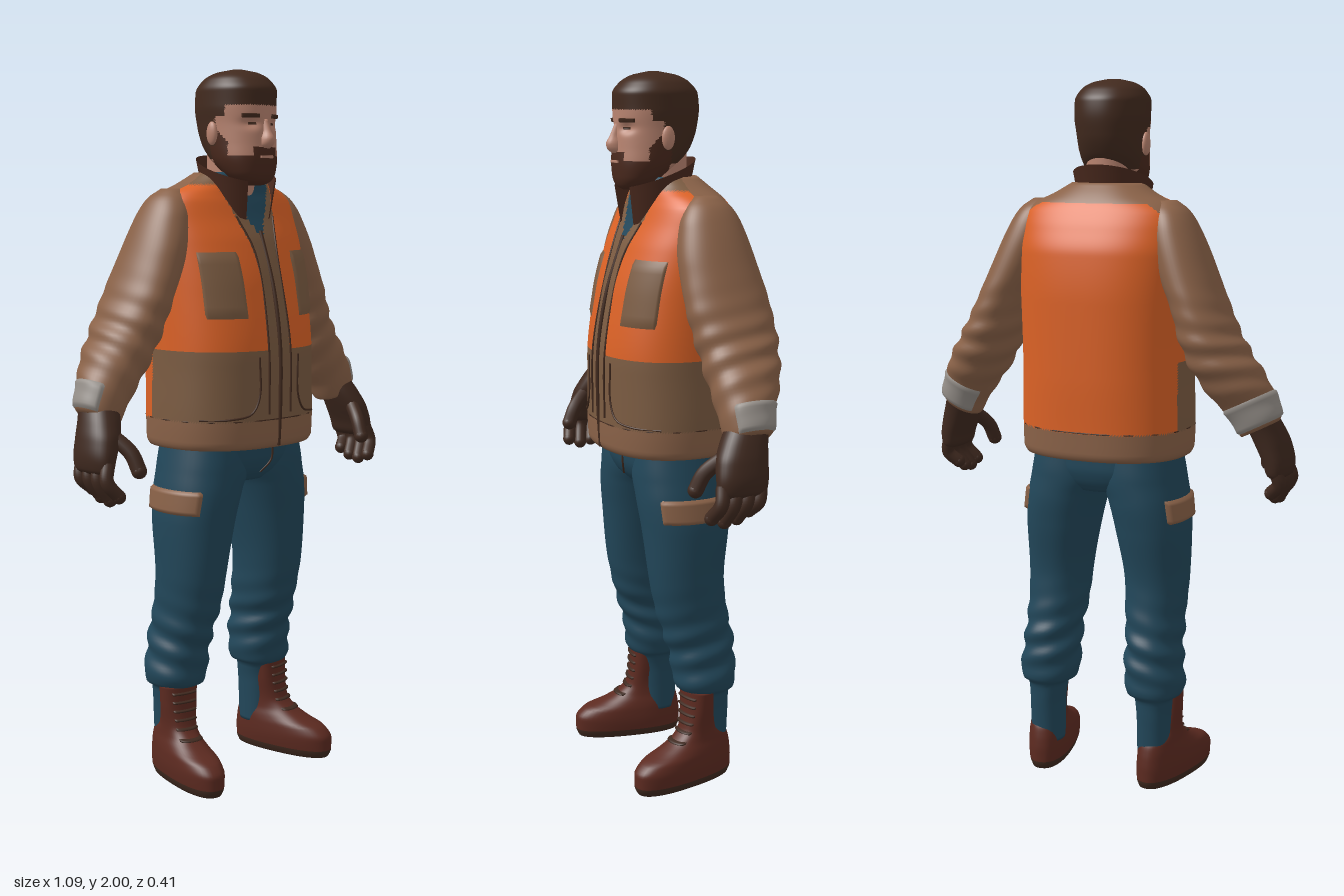
import * as THREE from 'three';

const mat = (name, color, side = THREE.FrontSide) => {
  const m = new THREE.MeshStandardMaterial({ color, side });
  m.name = name;
  return m;
};
const M = {
  orange: mat('vestOrange', 0xdc6226), tan: mat('sleeveTan', 0x8a6248), canvas: mat('canvasBrown', 0x7c5c42),
  teal: mat('trouserTeal', 0x22475a), boot: mat('bootLeather', 0x5c2a20), glove: mat('gloveBrown', 0x3f291f),
  hair: mat('hairBrown', 0x422a1e), skin: mat('skin', 0xb98470), cuff: mat('cuffGrey', 0x96908a),
  beard: mat('beardAndCollar', 0x4a291d, THREE.DoubleSide),
};
const RAD = Math.PI / 180;
const bump = (v, c, w) => Math.exp(-(((v - c) / w) ** 2));

// Smooth, overshoot-free interpolation of sections [y, xMin, xMax, zFront, zBack, tilt]
function sample(secs, y) {
  let i = 0;
  while (i < secs.length - 2 && y > secs[i + 1][0]) i++;
  const slope = (j, k) => (secs[j + 1][k] - secs[j][k]) / (secs[j + 1][0] - secs[j][0]);
  const tangent = (j, k) => {
    if (j === 0) return slope(0, k);
    if (j === secs.length - 1) return slope(j - 1, k);
    const a = slope(j - 1, k), b = slope(j, k);
    return a * b > 0 ? (2 * a * b) / (a + b) : 0;
  };
  const h = secs[i + 1][0] - secs[i][0], t = (y - secs[i][0]) / h, t2 = t * t, t3 = t2 * t;
  return secs[i].slice(1).map((v, k) => (2 * t3 - 3 * t2 + 1) * v + (t3 - 2 * t2 + t) * h * tangent(i, k + 1)
    + (3 * t2 - 2 * t3) * secs[i + 1][k + 1] + (t3 - t2) * h * tangent(i + 1, k + 1));
}

// Surface point from angle (0 = +x, 90 degrees = front), height and offset
function surface(secs, n = 2, fold = () => 0) {
  const pw = v => Math.sign(v) * Math.abs(v) ** (2 / n);
  const f = (a, y, off = 0) => {
    const [x0, x1, zf, zb, tilt = 0] = sample(secs, y), o = off + fold(a, y);
    const dx = ((x1 - x0) / 2 + o) * pw(Math.cos(a));
    return new THREE.Vector3((x0 + x1) / 2 + dx, y + tilt * dx, (zf + zb) / 2 + ((zf - zb) / 2 + o) * pw(Math.sin(a)));
  };
  f.y0 = secs[0][0];
  f.y1 = secs[secs.length - 1][0];
  f.angle = (x, y) => { // front angle at a given x
    const [x0, x1] = sample(secs, y), q = (x - (x0 + x1) / 2) / ((x1 - x0) / 2);
    return Math.acos(Math.sign(q) * Math.min(1, Math.abs(q)) ** (n / 2));
  };
  return f;
}

// Closed, capped loft; pick(centroid) chooses the material of each face
function loft(name, surf, pick, segs = 40, rows = 40) {
  const pos = [], groups = new Map();
  for (let r = 0; r <= rows; r++) for (let s = 0; s < segs; s++)
    pos.push(surf((s / segs) * 2 * Math.PI, surf.y0 + ((surf.y1 - surf.y0) * r) / rows));
  const mid = r => pos.slice(r * segs, (r + 1) * segs).reduce((a, p) => a.add(p), new THREE.Vector3()).divideScalar(segs);
  const bottom = pos.length, top = bottom + 1;
  pos.push(mid(0), mid(rows));
  const tri = (...ids) => {
    const c = ids.reduce((a, i) => a.add(pos[i]), new THREE.Vector3()).divideScalar(3);
    const m = typeof pick === 'function' ? pick(c) : pick;
    if (!groups.has(m)) groups.set(m, []);
    groups.get(m).push(...ids);
  };
  for (let s = 0; s < segs; s++) {
    const e = (s + 1) % segs, last = rows * segs;
    for (let r = 0; r < rows; r++) {
      const b = r * segs, u = b + segs;
      tri(b + s, u + s, b + e);
      tri(b + e, u + s, u + e);
    }
    tri(bottom, s, e);
    tri(top, last + e, last + s);
  }
  const g = new THREE.BufferGeometry().setFromPoints(pos), index = [];
  [...groups.values()].forEach((ids, i) => { g.addGroup(index.length, ids.length, i); for (const v of ids) index.push(v); });
  g.setIndex(index);
  g.computeVertexNormals();
  return named(name, g, [...groups.keys()]);
}
function named(name, geometry, material) {
  const m = new THREE.Mesh(geometry, material);
  m.name = name;
  return m;
}

// Thin plate that follows a surface, its rim sunk into it
function panel(name, surf, a0, a1, y0, y1, material, off = 0.005, nu = 20, nv = 10) {
  const g = new THREE.PlaneGeometry(1, 1, nu, nv), p = g.attributes.position;
  for (let i = 0; i < p.count; i++) {
    const u = p.getX(i) + 0.5, v = p.getY(i) + 0.5;
    const rim = Math.min(u, 1 - u, v, 1 - v) < 1e-4;
    const q = surf(a1 + (a0 - a1) * u, y0 + (y1 - y0) * v, rim ? -0.002 : off);
    p.setXYZ(i, q.x, q.y, q.z);
  }
  g.computeVertexNormals();
  return named(name, g, material);
}
function mirrored(mesh) {
  const g = mesh.geometry.clone().scale(-1, 1, 1), ix = g.index;
  for (let i = 0; i < ix.count; i += 3) {
    const t = ix.getX(i);
    ix.setX(i, ix.getX(i + 1));
    ix.setX(i + 1, t);
  }
  return named(mesh.name.replace('left', 'right'), g, mesh.material);
}
const tube = (name, pts, r, material) =>
  named(name, new THREE.TubeGeometry(new THREE.CatmullRomCurve3(pts), 20, r, 10), material);
const ball = (name, x, y, z, sx, sy, sz, material) =>
  named(name, new THREE.SphereGeometry(1, 16, 12).scale(sx, sy, sz).translate(x, y, z), material);
const sym = rows => rows.map(([y, w, f, b]) => [y, -w, w, f, b]);

export function createModel() {
  const root = new THREE.Group();
  root.name = 'workman';
  const add = (...m) => root.add(...m);
  const pair = (...ms) => ms.forEach(m => add(m, mirrored(m)));

  // Jacket body with vest colours
  const torso = surface(sym([[0.965, 0.236, 0.195, -0.188], [0.98, 0.243, 0.203, -0.195], [1.04, 0.245, 0.205, -0.196],
    [1.2, 0.242, 0.205, -0.2], [1.4, 0.243, 0.178, -0.2], [1.53, 0.245, 0.138, -0.19], [1.6, 0.241, 0.105, -0.165],
    [1.64, 0.232, 0.088, -0.145], [1.665, 0.205, 0.077, -0.13], [1.69, 0.15, 0.07, -0.11], [1.72, 0.1, 0.065, -0.08]]), 2.4);
  add(loft('jacket', torso, ({ x, y, z }) => {
    const ax = Math.abs(x);
    if (z > 0.03 && y > 1.55 && ax < (y - 1.54) * 0.6) return M.teal;
    if (y < 1.045) return M.tan;
    if (z < -0.06) return y < 1.665 && !(y > 1.6 && z > -0.1) ? M.orange : M.tan;
    if (y > 1.6 && z < 0) return M.tan;
    return y > 1.235 && ax > 0.042 + Math.max(0, y - 1.5) * 0.3 && y < 1.685 ? M.orange : M.canvas;
  }, 168, 100));
  pair(panel('leftChestPocket', torso, torso.angle(0.205, 1.4), torso.angle(0.098, 1.4), 1.32, 1.51, M.canvas));

  // Zip and stitched seams
  const seam = (name, pts, r = 0.003) =>
    tube(name, pts.map(([x, y]) => torso(torso.angle(x, y), y, 0.001)), r, M.hair);
  add(seam('zip', [[0, 0.97], [0, 1.1], [0, 1.25], [0, 1.4], [0, 1.56]], 0.006));
  pair(seam('leftPlacketSeam', [[0.042, 1.06], [0.042, 1.25], [0.042, 1.5], [0.07, 1.6]]),
    seam('leftHandPocketSeam', [[0.075, 1.22], [0.075, 1.11], [0.1, 1.065], [0.16, 1.052], [0.22, 1.05]]));
  add(tube('hemSeam', Array.from({ length: 49 }, (_, i) => torso((i / 48) * 2 * Math.PI, 1.045)), 0.002, M.hair));

  // Standing collar, open at the front
  const cg = new THREE.PlaneGeometry(1, 1, 48, 4), cp = cg.attributes.position;
  for (let i = 0; i < cp.count; i++) {
    const th = cp.getX(i) * 306 * RAD, v = cp.getY(i) + 0.5, f = (1 - Math.cos(th)) / 2;
    const r = 0.095 + 0.017 * v;
    cp.setXYZ(i, r * Math.sin(th), (1.69 - 0.105 * f) * (1 - v) + (1.77 - 0.08 * f) * v, 0.03 - r * Math.cos(th));
  }
  cg.computeVertexNormals();
  add(named('collar', cg, M.beard));

  // Neck and head
  add(loft('neck', surface(sym([[1.58, 0.07, 0.085, -0.06], [1.68, 0.065, 0.08, -0.06], [1.82, 0.065, 0.08, -0.06]])),
    p => (p.y < 1.645 ? M.teal : M.skin), 32, 24));
  const head = surface(sym([[1.685, 0.025, 0.125, 0.07], [1.695, 0.052, 0.14, 0.05], [1.72, 0.074, 0.149, 0.015],
    [1.76, 0.088, 0.152, -0.035], [1.8, 0.092, 0.15, -0.068], [1.85, 0.095, 0.148, -0.086], [1.9, 0.1, 0.147, -0.092],
    [1.94, 0.1, 0.148, -0.088], [1.97, 0.086, 0.128, -0.066], [1.99, 0.058, 0.095, -0.03], [2, 0.015, 0.05, 0.02]]), 2.2,
  (a, y) => (Math.sin(a) > 0 ? -0.011 * bump(y, 1.851, 0.014) * bump(Math.abs(Math.cos(a)) * 0.095, 0.04, 0.022) : 0));
  add(loft('head', head, ({ x, y, z }) => {
    const ax = Math.abs(x);
    if (y > 1.9 || (z < 0.08 && y > 1.87) || (z < 0.045 && y > 1.79)) return M.hair;
    if (z < 0.02) return y > 1.755 ? M.hair : M.skin;
    return y < 1.765 || (ax < 0.042 && y < 1.787) || (z < 0.085 && y < 1.84 - (z - 0.045)) ? M.beard : M.skin;
  }, 96, 80));
  add(loft('nose', surface(sym([[1.784, 0.012, 0.158, 0.12], [1.793, 0.02, 0.17, 0.12], [1.808, 0.019, 0.175, 0.12],
    [1.83, 0.012, 0.164, 0.12], [1.862, 0.009, 0.15, 0.12]])), M.skin, 20, 14));
  add(panel('lips', head, 76 * RAD, 104 * RAD, 1.757, 1.765, M.skin, 0.003));
  pair(ball('leftEar', 0.097, 1.825, 0.035, 0.011, 0.032, 0.019, M.skin),
    panel('leftEyebrow', head, 48 * RAD, 79 * RAD, 1.865, 1.877, M.hair, 0.005),
    panel('leftEye', head, 58 * RAD, 74 * RAD, 1.847, 1.854, M.hair, 0.002));

  // Sleeves with grey cuffs
  const arm = surface([[1.065, 0.415, 0.515, 0.038, -0.08, 0.5], [1.075, 0.41, 0.52, 0.043, -0.088, 0.5],
    [1.12, 0.385, 0.507, 0.047, -0.1, 0.5], [1.18, 0.337, 0.479, 0.05, -0.135, 0.45], [1.25, 0.285, 0.436, 0.055, -0.16, 0.35],
    [1.32, 0.25, 0.4, 0.065, -0.17, 0.2], [1.4, 0.222, 0.365, 0.075, -0.165, 0.08], [1.5, 0.175, 0.325, 0.073, -0.148, 0],
    [1.6, 0.15, 0.28, 0.055, -0.122, 0], [1.65, 0.15, 0.248, 0.03, -0.095, 0], [1.675, 0.17, 0.215, 0, -0.06, 0]], 2.1,
  (a, y) => 0.004 * Math.sin(y * 95 + 2 * a) * bump(y, 1.26, 0.11));
  pair(loft('leftSleeve', arm, M.tan, 48, 70), panel('leftCuff', arm, -150 * RAD, 50 * RAD, 1.072, 1.145, M.cuff, 0.005, 32));

  // Gloves
  pair(loft('leftGlove', surface([[0.93, 0.495, 0.53, 0.075, -0.04], [0.94, 0.48, 0.542, 0.088, -0.05],
    [0.97, 0.47, 0.546, 0.09, -0.055], [1.02, 0.447, 0.538, 0.083, -0.06], [1.06, 0.43, 0.525, 0.065, -0.066],
    [1.11, 0.415, 0.505, 0.035, -0.08]], 2.3), M.glove, 32, 24));
  const finger = (name, pts, r) => {
    const e = pts[pts.length - 1];
    pair(tube(name, pts, r, M.glove), ball(name + 'Tip', e.x, e.y, e.z, r, r, r, M.glove));
  };
  [0.075, 0.038, 0.002, -0.033].forEach((z, i) => {
    const tip = [0.875, 0.862, 0.868, 0.885][i];
    finger('leftFinger' + (i + 1), [new THREE.Vector3(0.51, 0.96, z), new THREE.Vector3(0.522, 0.915, z + 0.01),
      new THREE.Vector3(0.495, tip, z + 0.025)], 0.019);
  });
  finger('leftThumb', [new THREE.Vector3(0.475, 1.03, 0.05), new THREE.Vector3(0.45, 0.985, 0.098),
    new THREE.Vector3(0.442, 0.94, 0.12)], 0.021);

  // Trousers
  add(loft('hips', surface(sym([[0.86, 0.1, 0.1, -0.1], [0.89, 0.19, 0.13, -0.12], [0.93, 0.215, 0.145, -0.13],
    [1, 0.215, 0.15, -0.13]]), 2.3), M.teal, 48, 16));
  add(tube('fly', [new THREE.Vector3(0.03, 0.97, 0.147), new THREE.Vector3(0.028, 0.92, 0.144),
    new THREE.Vector3(0, 0.885, 0.128)], 0.003, M.hair));
  const leg = surface([[0.08, 0.125, 0.22, 0, -0.11], [0.2, 0.123, 0.222, 0.005, -0.115], [0.262, 0.115, 0.226, 0.015, -0.118],
    [0.275, 0.09, 0.248, 0.035, -0.13], [0.3, 0.085, 0.254, 0.045, -0.135], [0.35, 0.082, 0.247, 0.05, -0.135],
    [0.42, 0.084, 0.24, 0.068, -0.13], [0.5, 0.073, 0.238, 0.092, -0.115], [0.6, 0.065, 0.242, 0.112, -0.104],
    [0.75, 0.037, 0.246, 0.128, -0.122], [0.84, 0.014, 0.238, 0.138, -0.13], [0.9, -0.01, 0.228, 0.14, -0.13],
    [0.97, -0.01, 0.215, 0.135, -0.125]], 2.2,
  (a, y) => 0.005 * Math.sin(y * 85 + 2 * a) * bump(y, 0.4, 0.1));
  pair(loft('leftTrouserLeg', leg, M.teal, 48, 110),
    panel('leftCargoFlap', leg, -42 * RAD, 50 * RAD, 0.78, 0.85, M.tan, 0.009));

  // Boots, toes turned out
  const boot = surface(sym([[0, 0.052, 0.292, -0.018], [0.02, 0.059, 0.3, -0.025], [0.055, 0.062, 0.3, -0.025],
    [0.085, 0.06, 0.275, -0.022], [0.105, 0.056, 0.22, -0.018], [0.13, 0.05, 0.17, -0.01], [0.16, 0.048, 0.14, 0.03],
    [0.22, 0.053, 0.128, 0.048], [0.275, 0.056, 0.125, 0.05]]), 2.4);
  const place = m => { m.geometry.rotateY(0.2).translate(0.17, 0, -0.1); return m; };
  pair(place(loft('leftBoot', boot, p => (p.y < 0.022 ? M.glove : M.boot), 48, 50)));
  for (let i = 0; i < 6; i++)
    pair(place(panel('leftLace' + (i + 1), boot, 48 * RAD, 132 * RAD, 0.125 + i * 0.025, 0.134 + i * 0.025, M.glove, 0.006, 12, 4)));
  return root;
}
